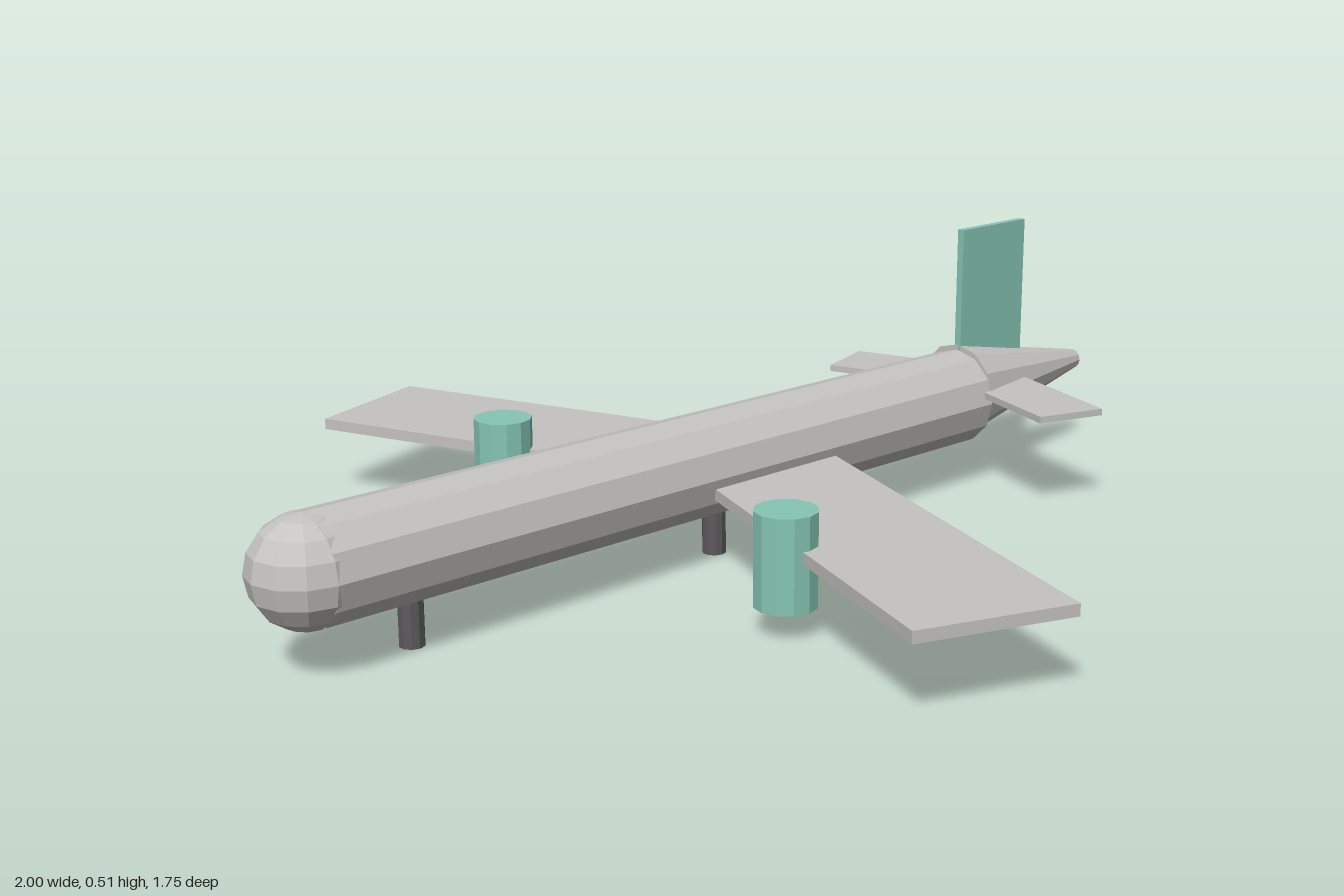
import * as THREE from 'three';

const flat = (name, color) => {
  const m = new THREE.MeshStandardMaterial({ color, flatShading: true });
  m.name = name;
  return m;
};

export function createModel() {
  const grey = flat('light grey', 0xc4c3c1);
  const teal = flat('sea green', 0x86c6b4);
  const dark = flat('dark grey', 0x5c5a5c);

  const plane = new THREE.Group();
  plane.name = 'aircraft';

  const add = (name, geometry, material, x, y, z) => {
    const mesh = new THREE.Mesh(geometry, material);
    mesh.name = name;
    mesh.position.set(x, y, z);
    plane.add(mesh);
    return mesh;
  };

  // Fuselage tube, round nose and tapered tail, all along x (nose at -x)
  const tube = new THREE.CylinderGeometry(0.095, 0.095, 1.525, 12).rotateZ(-Math.PI / 2);
  add('fuselage', tube, grey, -0.1425, 0.175, 0);
  add('nose', new THREE.SphereGeometry(0.095, 12, 8), grey, -0.905, 0.175, 0);
  const cone = new THREE.CylinderGeometry(0.02, 0.093, 0.38, 12).rotateZ(-Math.PI / 2);
  add('tailCone', cone, grey, 0.81, 0.188, 0);

  // Upright fin
  add('fin', new THREE.BoxGeometry(0.19, 0.315, 0.015), teal, 0.715, 0.3575, 0);

  // Swept panel: (tipX, tipZ) is the middle of the tip, span runs inward
  const panel = (name, side, tipX, tipZ, y, chord, span, thick, degrees) => {
    const a = THREE.MathUtils.degToRad(degrees);
    const x = tipX + Math.sin(a) * span / 2;
    const z = tipZ - Math.cos(a) * span / 2;
    const mesh = add(name, new THREE.BoxGeometry(chord, thick, span), grey, x, y, z * side);
    mesh.rotation.y = -a * side;
  };

  for (const side of [1, -1]) {
    const label = side > 0 ? 'front' : 'back';
    panel(label + 'Wing', side, -0.245, 0.828, 0.147, 0.285, 0.85, 0.021, 20);
    panel(label + 'Tailplane', side, 0.608, 0.301, 0.194, 0.141, 0.3, 0.013, 18);
    // Upright pod on the leading edge of the wing
    add(label + 'Pod', new THREE.CylinderGeometry(0.055, 0.055, 0.165, 12), teal, -0.24, 0.133, 0.379 * side);
  }

  // Landing legs under the fuselage
  for (const [name, x] of [['noseLeg', -0.716], ['mainLeg', -0.05]])
    add(name, new THREE.CylinderGeometry(0.022, 0.022, 0.1, 10), dark, x, 0.05, 0);

  return plane;
}
